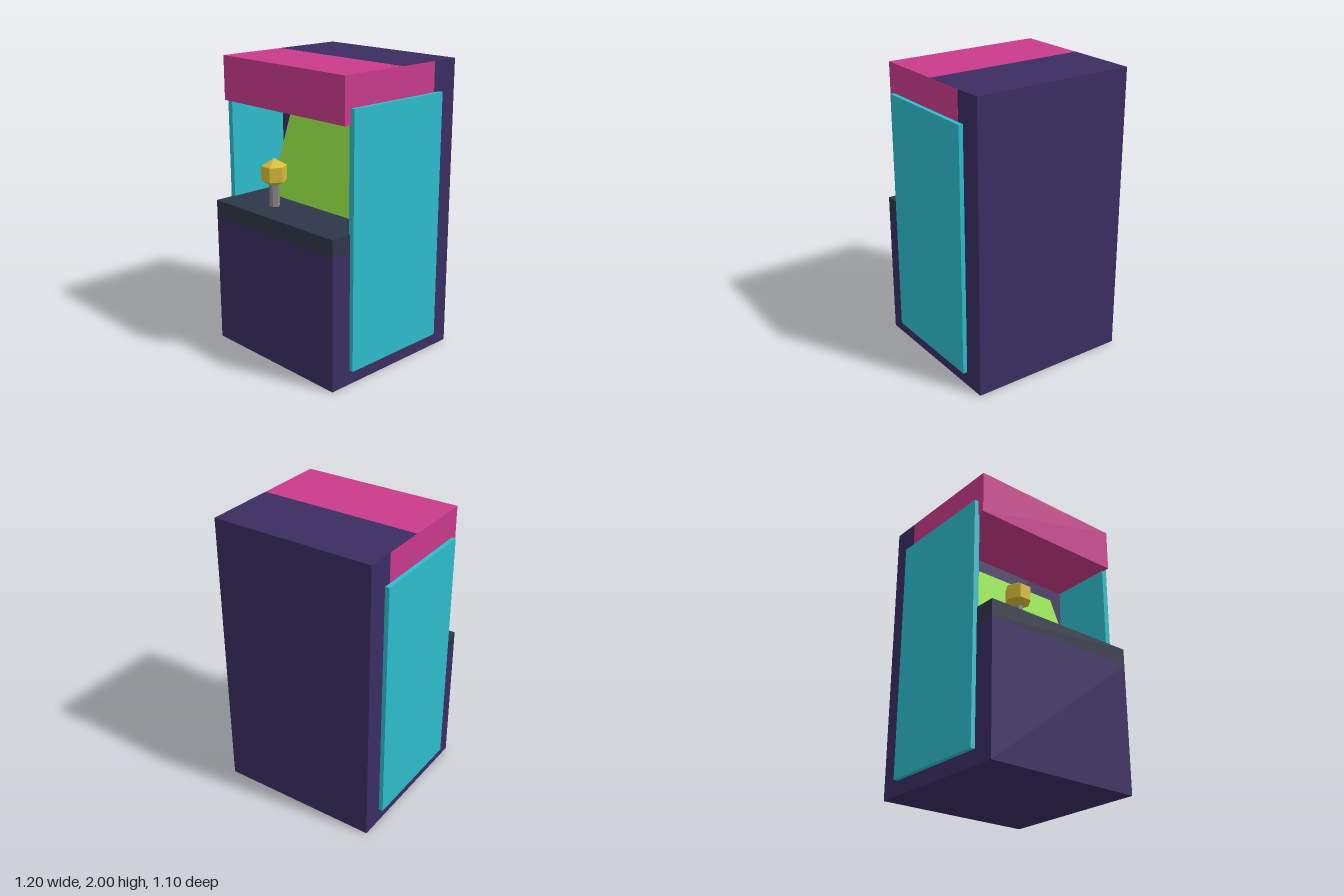
import * as THREE from 'three';

const paint = (name, color) => {
  const m = new THREE.MeshStandardMaterial({ color });
  m.name = name;
  return m;
};

export function createModel() {
  const group = new THREE.Group();
  group.name = 'arcadeCabinet';

  const purple = paint('cabinetPurple', 0x3b2d62);
  const slate = paint('panelSlate', 0x2e3648);
  const pink = paint('marqueePink', 0xc93a8b);
  const teal = paint('sideTeal', 0x2dbccb);
  const green = paint('screenGreen', 0x8ddc42);
  const yellow = paint('knobYellow', 0xd6ba38);
  const grey = paint('shaftGrey', 0x868686);

  const add = (name, geometry, material, x, y, z) => {
    const mesh = new THREE.Mesh(geometry, material);
    mesh.name = name;
    mesh.position.set(x, y, z);
    group.add(mesh);
    return mesh;
  };

  // Box given by its width and its y and z ranges, centred on x
  const block = (name, material, w, y0, y1, z0, z1, x = 0) =>
    add(name, new THREE.BoxGeometry(w, y1 - y0, z1 - z0), material, x, (y0 + y1) / 2, (z0 + z1) / 2);

  // Cabinet body
  block('base', purple, 1.14, 0, 0.9, -0.55, 0.55);
  block('upperBack', purple, 1.14, 0.9, 2, -0.55, -0.05);
  block('controlPanel', slate, 1.14, 0.9, 1.02, -0.05, 0.55);

  // Marquee, a hair wider and lower than the body so their faces never coincide
  block('marquee', pink, 1.142, 1.7, 1.999, -0.35, 0.45);

  // Side panels
  for (const side of [-1, 1]) {
    block(side > 0 ? 'leftSidePanel' : 'rightSidePanel', teal, 0.04, 0.1, 1.8, -0.4, 0.4, side * 0.58);
  }

  // Screen leaning back
  const screen = add('screen', new THREE.BoxGeometry(0.855, 0.6, 0.02), green, 0, 1.3, 0.08);
  screen.rotation.x = -0.35;

  // Joystick: six-sided shaft and faceted knob
  const shaftGeometry = new THREE.CylinderGeometry(0.035, 0.035, 0.18, 6).rotateY(Math.PI / 6).toNonIndexed();
  const knobGeometry = new THREE.SphereGeometry(0.1, 6, 3).toNonIndexed();
  for (const g of [shaftGeometry, knobGeometry]) g.computeVertexNormals();
  add('joystickShaft', shaftGeometry, grey, -0.195, 1.11, 0.35);
  add('joystickKnob', knobGeometry, yellow, -0.195, 1.25, 0.35);

  return group;
}
